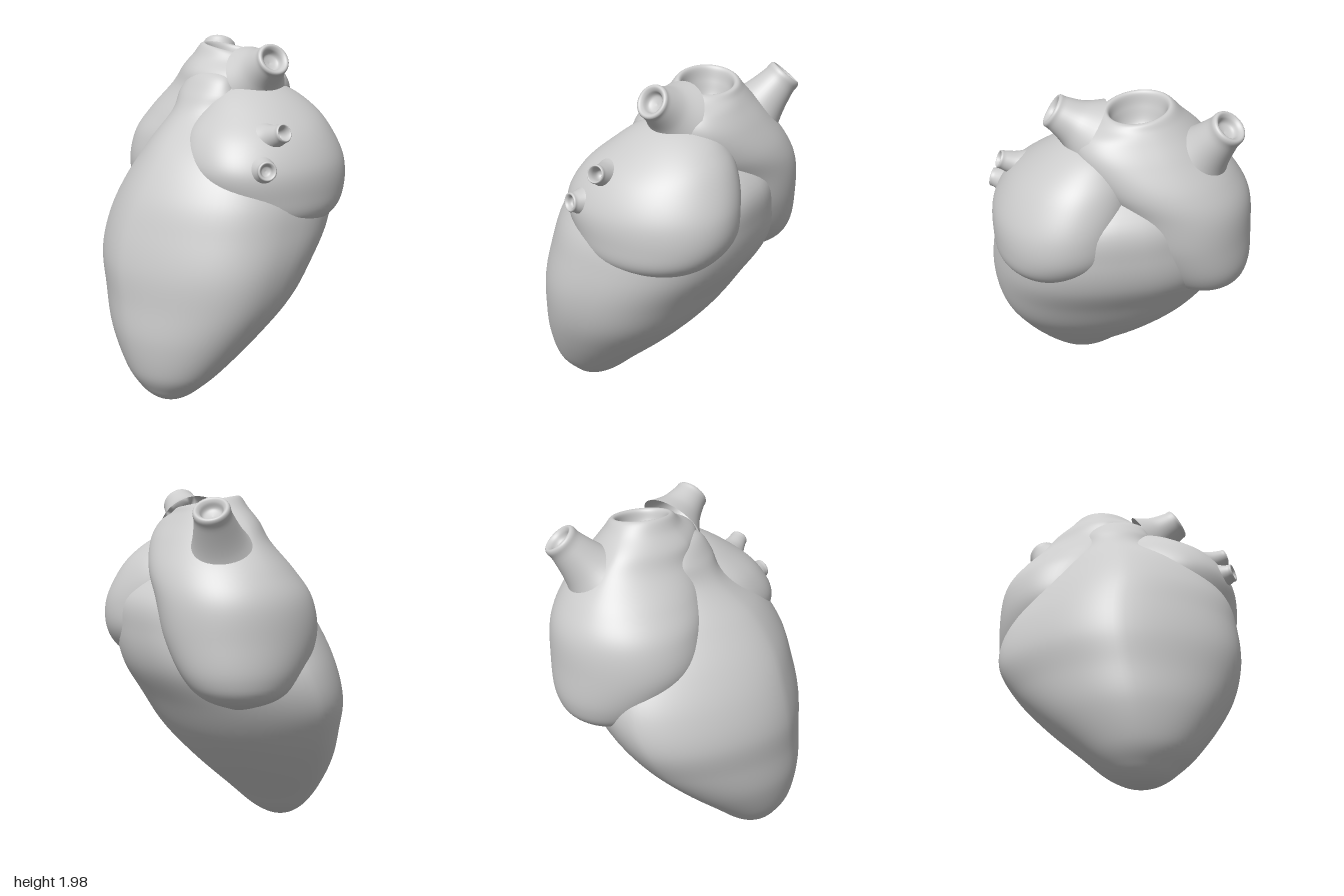
import * as THREE from 'three';

const material = new THREE.MeshStandardMaterial({ color: 0xcccccc, side: THREE.DoubleSide });

function addMesh(group, name, geometry) {
  const mesh = new THREE.Mesh(geometry, material);
  mesh.name = name;
  group.add(mesh);
  return mesh;
}

const signedPower = (v, p) => Math.sign(v) * Math.abs(v) ** p;
const spline = (points) => new THREE.CatmullRomCurve3(
  points.map((p) => new THREE.Vector3(...p)), false, 'catmullrom');

// Smooth skin over horizontal oval sections:
// [y, centreX, centreZ, radiusX, radiusZ, squareness (2 is a plain ellipse), skew, tilt]
// Skew makes the back left corner fuller and the front right one leaner;
// tilt lowers the back left corner and raises the front right one.
function loft(sections, segments = 80, stepsPerSection = 7) {
  const centres = spline(sections.map(([y, x, z]) => [x, y, z]));
  const radii = spline(sections.map(([, , , rx, rz]) => [rx, 0, rz]));
  const shapes = spline(sections.map(([, , , , , n = 2, skew = 0, tilt = 0]) => [n, skew, tilt]));
  const rings = (sections.length - 1) * stepsPerSection;
  const positions = [];
  const indices = [];
  for (let i = 0; i <= rings; i++) {
    const c = centres.getPoint(i / rings);
    const r = radii.getPoint(i / rings);
    const s = shapes.getPoint(i / rings);
    for (let j = 0; j < segments; j++) {
      const angle = (j / segments) * Math.PI * 2;
      const sin = Math.sin(angle);
      const cos = Math.cos(angle);
      const diagonal = (sin - cos) * Math.SQRT1_2;
      const power = 2 / (s.x + s.y * diagonal);
      positions.push(
        c.x + Math.max(r.x, 0) * signedPower(sin, power),
        c.y - s.z * diagonal,
        c.z + Math.max(r.z, 0) * signedPower(cos, power));
      if (i === rings) continue;
      const a = i * segments + j;
      const b = i * segments + ((j + 1) % segments);
      indices.push(a, b, a + segments, b, b + segments, a + segments);
    }
  }
  const geometry = new THREE.BufferGeometry();
  geometry.setAttribute('position', new THREE.Float32BufferAttribute(positions, 3));
  geometry.setIndex(indices);
  geometry.computeVertexNormals();
  return geometry;
}

// Open vessel stub: flared root, rounded lip and a hollow mouth
function addVessel(group, name, root, tip, rootRadius, tipRadius, depth) {
  const start = new THREE.Vector3(...root);
  const axis = new THREE.Vector3(...tip).sub(start);
  const length = axis.length();
  const profile = new THREE.SplineCurve([
    new THREE.Vector2(rootRadius, 0),
    new THREE.Vector2(THREE.MathUtils.lerp(rootRadius, tipRadius, 0.65), length * 0.38),
    new THREE.Vector2(tipRadius, length * 0.8),
    new THREE.Vector2(tipRadius * 0.95, length * 0.96),
    new THREE.Vector2(tipRadius * 0.8, length),
    new THREE.Vector2(tipRadius * 0.62, length - depth * 0.25),
    new THREE.Vector2(tipRadius * 0.45, length - depth * 0.8),
    new THREE.Vector2(0, length - depth),
  ]).getPoints(42);
  profile.forEach((p) => { p.x = Math.max(p.x, 0); });
  const mesh = addMesh(group, name, new THREE.LatheGeometry(profile, 40));
  mesh.position.copy(start);
  mesh.quaternion.setFromUnitVectors(new THREE.Vector3(0, 1, 0), axis.normalize());
}

export function createModel() {
  const heart = new THREE.Group();
  heart.name = 'heart';

  // Ventricles, leaning forward to the apex and narrowing into the trunk above
  addMesh(heart, 'ventricles', loft([
    [0, 0.125, 0.4, 0, 0],
    [0.008, 0.125, 0.4, 0.06, 0.05],
    [0.035, 0.125, 0.395, 0.125, 0.105],
    [0.09, 0.12, 0.38, 0.2, 0.17],
    [0.2, 0.115, 0.35, 0.31, 0.26, 2, 0.1],
    [0.4, 0.08, 0.255, 0.475, 0.395, 1.95, 0.2],
    [0.6, 0.045, 0.16, 0.605, 0.49, 1.95, 0.35],
    [0.8, 0.015, 0.09, 0.68, 0.555, 1.97, 0.42],
    [1.0, 0.015, 0.005, 0.68, 0.595, 2, 0.45],
    [1.2, 0.045, -0.055, 0.615, 0.575, 2.05, 0.45],
    [1.4, 0.05, -0.11, 0.49, 0.495, 2.1, 0.45],
    [1.58, 0, -0.1, 0.28, 0.3, 2, 0.2],
    [1.7, 0, -0.01, 0.2, 0.13],
    [1.79, 0.01, -0.02, 0.13, 0.07],
    [1.82, 0.01, -0.03, 0, 0],
  ]));

  // Right atrium rising into the aorta, whose lip turns down into a hollow mouth
  addMesh(heart, 'rightAtriumAndAorta', loft([
    [0.8, -0.42, -0.28, 0, 0],
    [0.88, -0.43, -0.27, 0.2, 0.22],
    [1.0, -0.4, -0.25, 0.3, 0.34],
    [1.2, -0.33, -0.21, 0.38, 0.43],
    [1.4, -0.28, -0.22, 0.41, 0.43],
    [1.55, -0.19, -0.235, 0.42, 0.385, 2, 0.1],
    [1.7, -0.1, -0.235, 0.385, 0.305, 2, 0.3],
    [1.8, -0.07, -0.215, 0.33, 0.255, 2, 0.4],
    [1.865, -0.075, -0.23, 0.24, 0.2, 2, 0.2, 0.015],
    [1.91, -0.07, -0.24, 0.187, 0.167, 2, 0, 0.03],
    [1.905, -0.07, -0.24, 0.158, 0.14, 2, 0, 0.03],
    [1.84, -0.07, -0.24, 0.138, 0.125, 2, 0, 0.02],
    [1.76, -0.07, -0.24, 0.1, 0.09],
    [1.74, -0.07, -0.24, 0, 0],
  ]));

  // Left atrium, bulging over the side and across the back
  addMesh(heart, 'leftAtrium', loft([
    [0.97, 0.38, -0.17, 0, 0],
    [1.0, 0.38, -0.17, 0.2, 0.24],
    [1.08, 0.37, -0.16, 0.315, 0.38, 2.1],
    [1.2, 0.345, -0.16, 0.365, 0.46, 2.15, -0.1],
    [1.35, 0.33, -0.145, 0.37, 0.485, 2.15, -0.15],
    [1.5, 0.28, -0.155, 0.34, 0.43, 2.15, -0.15],
    [1.62, 0.23, -0.18, 0.265, 0.33, 2.1],
    [1.72, 0.18, -0.19, 0.16, 0.2],
    [1.78, 0.17, -0.18, 0, 0],
  ]));

  // Vessel stubs
  addVessel(heart, 'aorticBranch', [0.19, 1.785, -0.19], [0.375, 1.905, -0.155], 0.185, 0.098, 0.06);
  addVessel(heart, 'venaCava', [-0.33, 1.59, -0.32], [-0.488, 1.885, -0.51], 0.24, 0.104, 0.06);
  addVessel(heart, 'upperPulmonaryVein', [0.5, 1.5, 0.02], [0.645, 1.56, 0.02], 0.1, 0.053, 0.08);
  addVessel(heart, 'lowerPulmonaryVein', [0.55, 1.355, 0.11], [0.675, 1.38, 0.165], 0.13, 0.055, 0.04);

  return heart;
}
